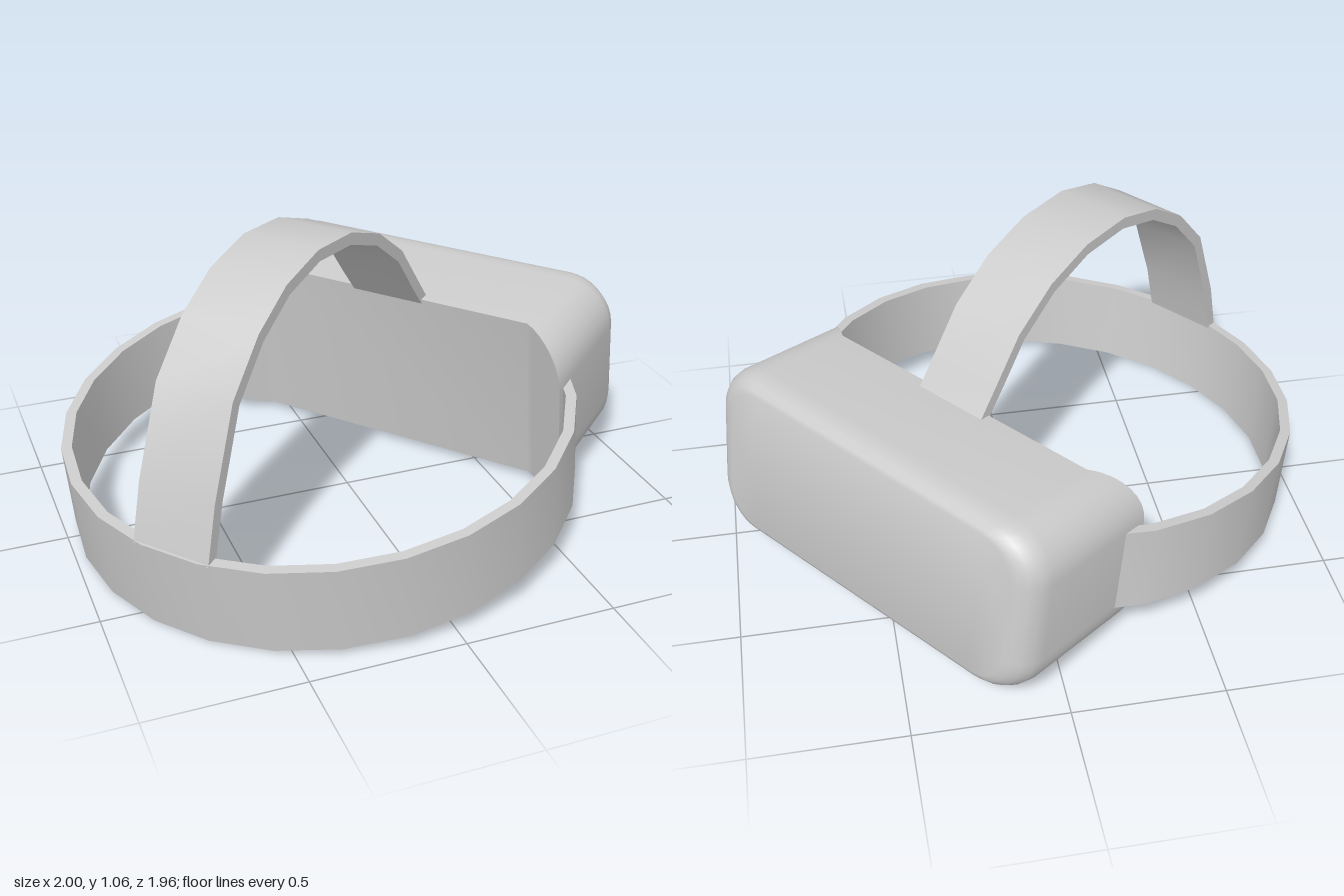
import * as THREE from 'three';
import { toCreasedNormals } from 'three/addons/utils/BufferGeometryUtils.js';

const grey = new THREE.MeshStandardMaterial({ color: 0xcccccc });

// Flat strip: an open outline thickened towards a centre, then extruded to its width
function stripGeometry(outer, centre, thickness, width) {
  const inner = outer.map((p) =>
    p.clone().sub(p.clone().sub(centre).setLength(thickness)));
  const shape = new THREE.Shape([...outer, ...inner.reverse()]);
  return new THREE.ExtrudeGeometry(shape, { depth: width, bevelEnabled: false });
}

// Rounded-rectangle cross-section, symmetric top to bottom (point i mirrors N-1-i)
function roundedRing(halfW, halfH, radius, steps) {
  const ring = [];
  for (let c = 0; c < 4; c++) {
    const sx = c === 0 || c === 3 ? 1 : -1;
    const sy = c < 2 ? 1 : -1;
    for (let i = 0; i <= steps; i++) {
      const a = (c + i / steps) * Math.PI / 2;
      ring.push([sx * (halfW - radius) + radius * Math.cos(a),
        sy * (halfH - radius) + radius * Math.sin(a)]);
    }
  }
  return ring;
}

// Visor: lofted sections with a rounded front and side wings reaching backwards
function visorGeometry() {
  const steps = 8, N = 4 * (steps + 1), midY = 0.28;
  const sections = [[null, 0], [0.7, 0], [0.74, 0.01], [0.77, 0.032], [0.788, 0.06], [0.795, 0.09]];
  const positions = [], index = [];
  for (const [z, inset] of sections) {
    for (const [x, y] of roundedRing(0.702 - inset, 0.309 - inset * 0.5, 0.165 - inset * 0.5, steps)) {
      const wing = THREE.MathUtils.clamp((Math.abs(x) - 0.53) / 0.172, 0, 1);
      positions.push(x, midY + y, z ?? 0.365 - 0.115 * wing);
    }
  }
  for (let s = 0; s < sections.length - 1; s++) {
    for (let i = 0; i < N; i++) {
      const j = (i + 1) % N, a = s * N, b = a + N;
      index.push(a + i, a + j, b + j, a + i, b + j, b + i);
    }
  }
  // Back and front faces, filled in vertical strips
  const f = (sections.length - 1) * N;
  for (let i = 0; i < N / 2 - 1; i++) {
    const a = i, b = i + 1, c = N - 2 - i, d = N - 1 - i;
    index.push(a, c, b, a, d, c);
    index.push(f + a, f + b, f + c, f + a, f + c, f + d);
  }
  const g = new THREE.BufferGeometry();
  g.setAttribute('position', new THREE.Float32BufferAttribute(positions, 3));
  g.setIndex(index);
  return toCreasedNormals(g, 0.75);
}

export function createModel() {
  const model = new THREE.Group();
  model.name = 'headset';
  const body = new THREE.Group();
  body.name = 'tiltedBody';
  body.rotation.set(-0.129, THREE.MathUtils.degToRad(129), 0, 'YXZ');
  model.add(body);

  const add = (name, geometry) => {
    const mesh = new THREE.Mesh(geometry, grey);
    mesh.name = name;
    body.add(mesh);
  };

  add('visor', visorGeometry());

  // Head band: open ring whose ends run into the visor sides
  const centre = new THREE.Vector2(0, -0.138);
  const ringPoints = [];
  const segments = 19, step = THREE.MathUtils.degToRad(13.8);
  for (let i = 0; i <= segments; i++) {
    const a = (i - segments / 2) * step;
    ringPoints.push(new THREE.Vector2(0.853 * Math.sin(a), centre.y - 0.864 * Math.cos(a)));
  }
  const band = stripGeometry(ringPoints, centre, 0.035, 0.298);
  band.rotateX(Math.PI / 2).translate(0, 0.423, 0);
  add('headBand', toCreasedNormals(band, 0.4));

  // Top strap: arch from the back of the band to the visor
  const arch = [
    [-0.99, 0.415], [-0.92, 0.595], [-0.776, 0.861], [-0.616, 0.997], [-0.452, 1.073], [-0.266, 1.097],
    [-0.07, 1.061], [0.10, 0.975], [0.242, 0.842], [0.334, 0.69], [0.42, 0.55],
  ].map(([z, y]) => new THREE.Vector2(z, y));
  const strap = stripGeometry(arch, new THREE.Vector2(-0.26, 0.38), 0.04, 0.27);
  strap.rotateY(-Math.PI / 2).translate(0.135, 0, 0);
  add('topStrap', toCreasedNormals(strap, 0.5));

  return model;
}
